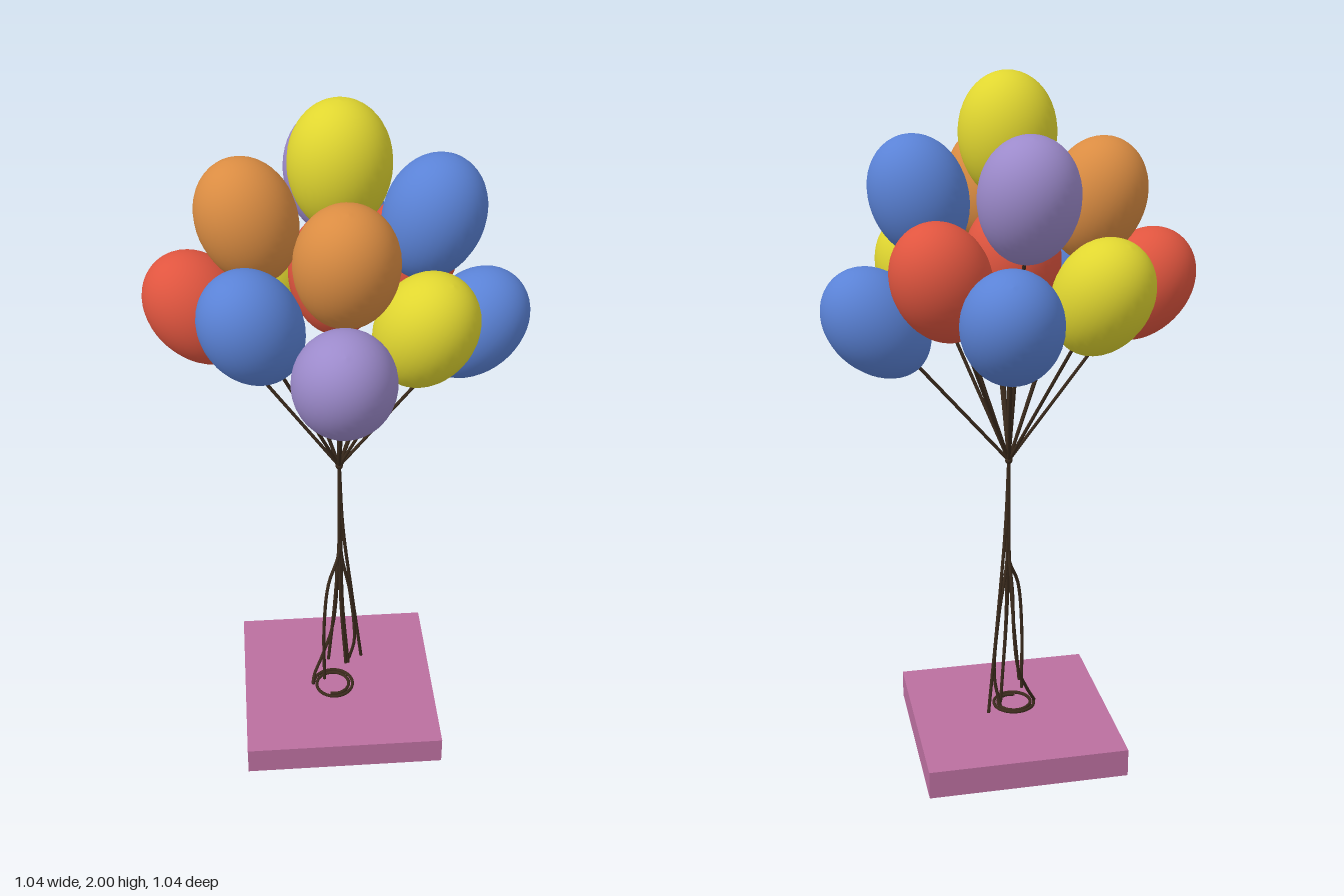
import * as THREE from 'three';

const RADIUS = 0.133;      // balloon half width
const HALF_LENGTH = 0.171; // balloon half height
const STRING = 0.005;      // string radius
const KNOT = new THREE.Vector3(0, 0.91, 0.02);

const COLORS = { red: 0xe0553f, orange: 0xda8c42, yellow: 0xe0d630, blue: 0x5a82d6, purple: 0x9c8acb };

// Balloon centres: colour, x, y, z
const BALLOONS = [
  ['yellow', 0, 1.832, 0.035],
  ['orange', 0, 1.662, 0.26],
  ['orange', -0.235, 1.665, -0.02],
  ['blue', 0.243, 1.678, 0.02],
  ['purple', 0, 1.705, -0.24],
  ['red', -0.372, 1.42, -0.012],
  ['blue', -0.235, 1.47, 0.2],
  ['yellow', 0.208, 1.44, 0.192],
  ['purple', -0.014, 1.393, 0.368],
  ['blue', 0.37, 1.345, -0.01],
  ['red', 0.215, 1.488, -0.178],
  ['blue', 0.07, 1.41, -0.372],
  ['yellow', -0.2, 1.44, -0.222],
  ['red', 0, 1.5, -0.03],
];

// Loose string ends below the knot: x, y, z points
const TAILS = [
  [[0, 0.6, 0.025], [-0.035, 0.5, 0.055], [-0.05, 0.35, 0.07], [-0.05, 0.13, 0.07]],
  [[0, 0.65, 0.02], [-0.015, 0.4, 0.03], [-0.035, 0.18, 0.035]],
  [[0.005, 0.65, 0.02], [0.01, 0.4, 0.015], [0.03, 0.13, 0]],
  [[0.005, 0.6, 0.02], [0.035, 0.42, 0], [0.05, 0.22, -0.005], [0.035, 0.13, -0.02]],
  [[0.01, 0.7, 0.02], [0.04, 0.42, -0.01], [0.075, 0.12, -0.04]],
  [[0, 0.65, 0.02], [0.005, 0.4, 0.03], [0.02, 0.16, 0.035]],
];

const material = (color) => new THREE.MeshStandardMaterial({ color });

function balloonGeometry() {
  // Egg profile, slightly fuller towards the top
  const profile = [];
  for (let i = 0; i <= 24; i++) {
    const t = (i / 24) * Math.PI;
    const r = RADIUS * Math.sin(t) * (1 - 0.05 * Math.cos(t));
    profile.push(new THREE.Vector2(Math.max(r, 0), -HALF_LENGTH * Math.cos(t)));
  }
  return new THREE.LatheGeometry(profile, 36);
}

function stringMesh(points, name, mat, segments) {
  const curve = new THREE.CatmullRomCurve3(points);
  const mesh = new THREE.Mesh(new THREE.TubeGeometry(curve, segments, STRING, 8), mat);
  mesh.name = name;
  return mesh;
}

export function createModel() {
  const model = new THREE.Group();
  model.name = 'balloonBunch';
  const cord = material(0x3a2a1c);

  // Square base
  const base = new THREE.Mesh(new THREE.BoxGeometry(0.59, 0.085, 0.59), material(0xbb6f9f));
  base.name = 'base';
  base.position.set(-0.004, 0.0425, 0.024);
  model.add(base);

  // Balloons, each leaning away from the knot on a straight string
  const egg = balloonGeometry();
  const up = new THREE.Vector3(0, 1, 0);
  const mats = {};
  for (const [name, color] of Object.entries(COLORS)) mats[name] = material(color);
  for (const [color, x, y, z] of BALLOONS) {
    const centre = new THREE.Vector3(x, y, z);
    const axis = centre.clone().sub(KNOT).normalize();
    const balloon = new THREE.Mesh(egg, mats[color]);
    balloon.name = color + 'Balloon';
    balloon.position.copy(centre);
    balloon.quaternion.setFromUnitVectors(up, axis);
    model.add(balloon);

    const end = centre.clone().addScaledVector(axis, -HALF_LENGTH + 0.01);
    model.add(stringMesh([KNOT, end], 'balloonString', cord, 1));
  }

  // Knot where the strings meet
  const knot = new THREE.Mesh(new THREE.SphereGeometry(0.011, 12, 8), cord);
  knot.name = 'knot';
  knot.position.copy(KNOT);
  model.add(knot);

  // Hanging string ends
  for (const tail of TAILS) {
    const points = [KNOT, ...tail.map((p) => new THREE.Vector3(...p))];
    model.add(stringMesh(points, 'looseString', cord, 32));
  }

  // Long string that ends in a coil lying on the base
  const path = [[0, 0.62, 0.02], [-0.005, 0.5, -0.01], [-0.005, 0.38, -0.03], [-0.02, 0.25, -0.025],
    [-0.055, 0.16, 0.005], [-0.08, 0.11, 0.03]].map((p) => new THREE.Vector3(...p));
  for (let i = 0; i <= 20; i++) {
    const a = Math.PI - (i / 20) * Math.PI * 3.6;
    const r = 0.066 - 0.022 * (i / 20);
    path.push(new THREE.Vector3(-0.02 + r * Math.cos(a), 0.092, 0.055 - r * Math.sin(a)));
  }
  model.add(stringMesh([KNOT, ...path], 'coiledString', cord, 140));

  return model;
}
